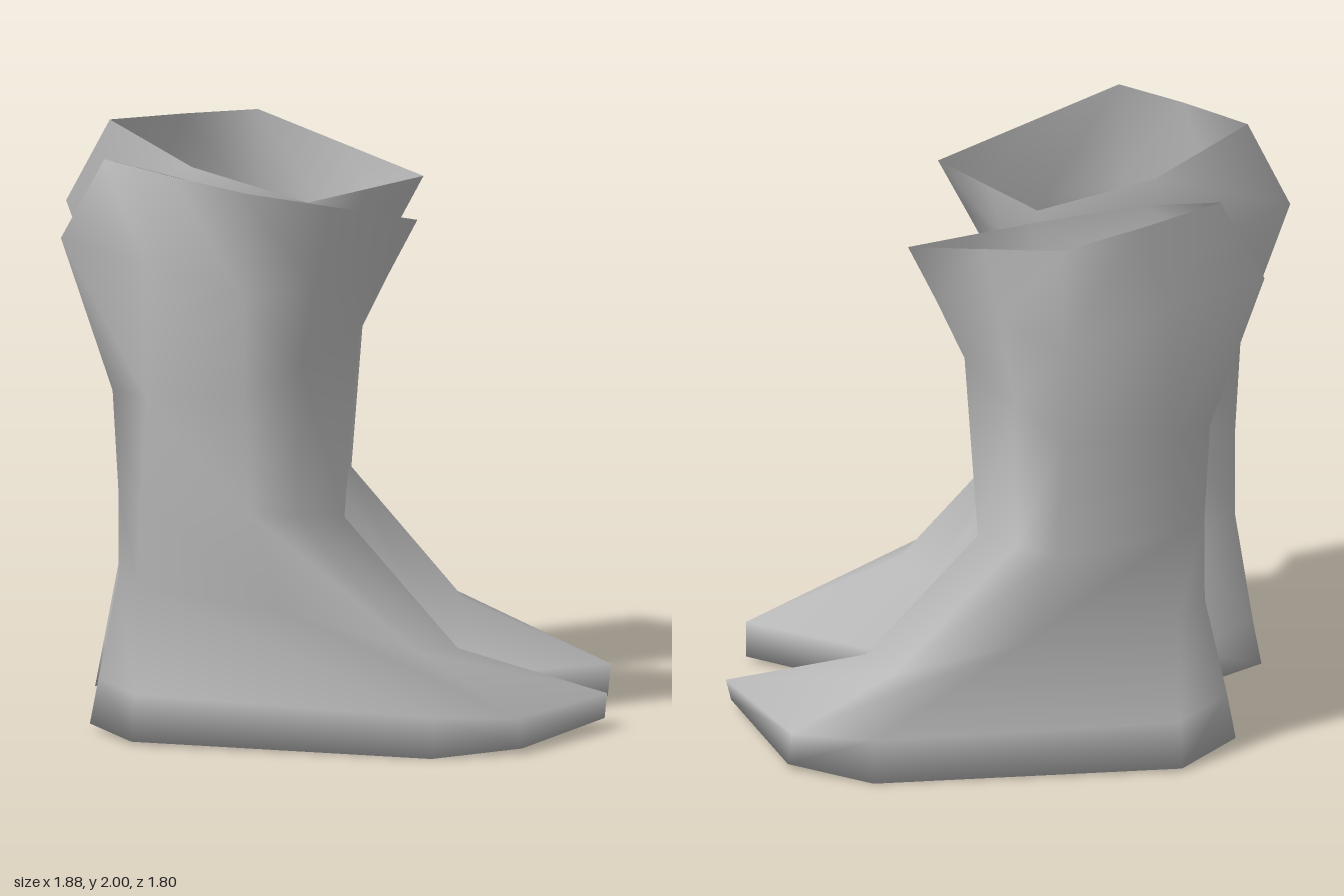
import * as THREE from 'three';

// Shaft rings from the rim down: front, outer, outer back, back, inner back, inner
const SHAFT = [
  // slanted open rim
  [[.29, 1.8, .42], [-.29, 1.96, .81], [-.54, 1.98, .61], [-.79, 2, .38], [-.5, 1.88, .13], [-.1, 1.77, .06]],
  // calf bulge
  [[.19, 1.61, .43], [-.3, 1.6, .83], [-.64, 1.67, .58], [-.94, 1.72, .36], [-.56, 1.6, .09], [-.11, 1.56, .07]],
  // upper shaft
  [[.09, 1.41, .45], [-.3, 1.25, .81], [-.64, 1.2, .57], [-.76, 1.2, .43], [-.55, 1.28, .18], [-.15, 1.38, .08]],
  // bend of the ankle
  [[.04, .77, .48], [-.27, .83, .79], [-.66, .83, .55], [-.74, .85, .43], [-.57, .9, .26], [-.22, .96, .2]],
];

// Foot rings going down, with an outer and an inner toe corner beside the front point
const FOOT = [
  // instep and heel top
  [[.43, .31, .47], [.3, .34, .72], [-.15, .49, .78], [-.67, .53, .54], [-.74, .55, .42], [-.6, .5, .22], [-.1, .45, .1], [.28, .34, .2]],
  // top edge of the toe
  [[.94, .12, .28], [.65, .12, .77], [.36, .13, .83], [-.68, .17, .62], [-.81, .18, .36], [-.61, .14, .14], [-.05, .13, .07], [.5, .12, .08]],
  // sole outline
  [[.93, .02, .21], [.66, .02, .8], [.35, 0, .9], [-.69, .01, .65], [-.84, .02, .36], [-.62, .01, .12], [-.05, .01, .06], [.52, .01, .03]],
];

const midpoint = (a, b) => a.map((value, i) => (value + b[i]) / 2);

// Halve the two front sides of a shaft ring so that it matches the foot rings
function addFrontCorners(ring) {
  const [front, outer, ...rest] = ring;
  const inner = rest[rest.length - 1];
  return [front, midpoint(front, outer), outer, ...rest, midpoint(front, inner)];
}

const SHAFT_RINGS = SHAFT.map(addFrontCorners);

// Skin a stack of rings and close its last ring with a fan around a centre point.
// side: 1 for the +z boot, -1 for its mirror image
function loft(rings, centre, side) {
  const n = rings[0].length;
  const points = [...rings.flat(), centre];
  const index = [];
  const tri = (a, b, c) => (side > 0 ? index.push(a, b, c) : index.push(a, c, b));
  rings.forEach((ring, i) => {
    for (let j = 0; j < n; j++) {
      const a = i * n + j;
      const b = i * n + (j + 1) % n;
      if (i === rings.length - 1) {
        tri(a, b, points.length - 1);
      } else {
        tri(a + n, a, b);
        tri(a + n, b, b + n);
      }
    }
  });

  const geometry = new THREE.BufferGeometry();
  const positions = points.flatMap(([x, y, z]) => [x, y, z * side]);
  geometry.setAttribute('position', new THREE.Float32BufferAttribute(positions, 3));
  geometry.setIndex(index);
  geometry.computeVertexNormals();
  return geometry;
}

export function createModel() {
  const group = new THREE.Group();
  group.name = 'pairOfBoots';
  const leather = new THREE.MeshStandardMaterial({ color: 0xb8b8b8, side: THREE.DoubleSide });
  leather.name = 'greyLeather';

  for (const side of [1, -1]) {
    const boot = new THREE.Group();
    boot.name = side > 0 ? 'frontBoot' : 'backBoot';

    // shaft, foot and sole in one smooth skin
    const shell = new THREE.Mesh(loft([...SHAFT_RINGS, ...FOOT], [.05, .005, .45], side), leather);
    shell.name = 'shell';

    // closed bottom inside the shaft
    const lining = new THREE.Mesh(loft([SHAFT_RINGS[2]], [-.32, 1.25, .45], side), leather);
    lining.name = 'lining';

    boot.add(shell, lining);
    group.add(boot);
  }
  return group;
}
